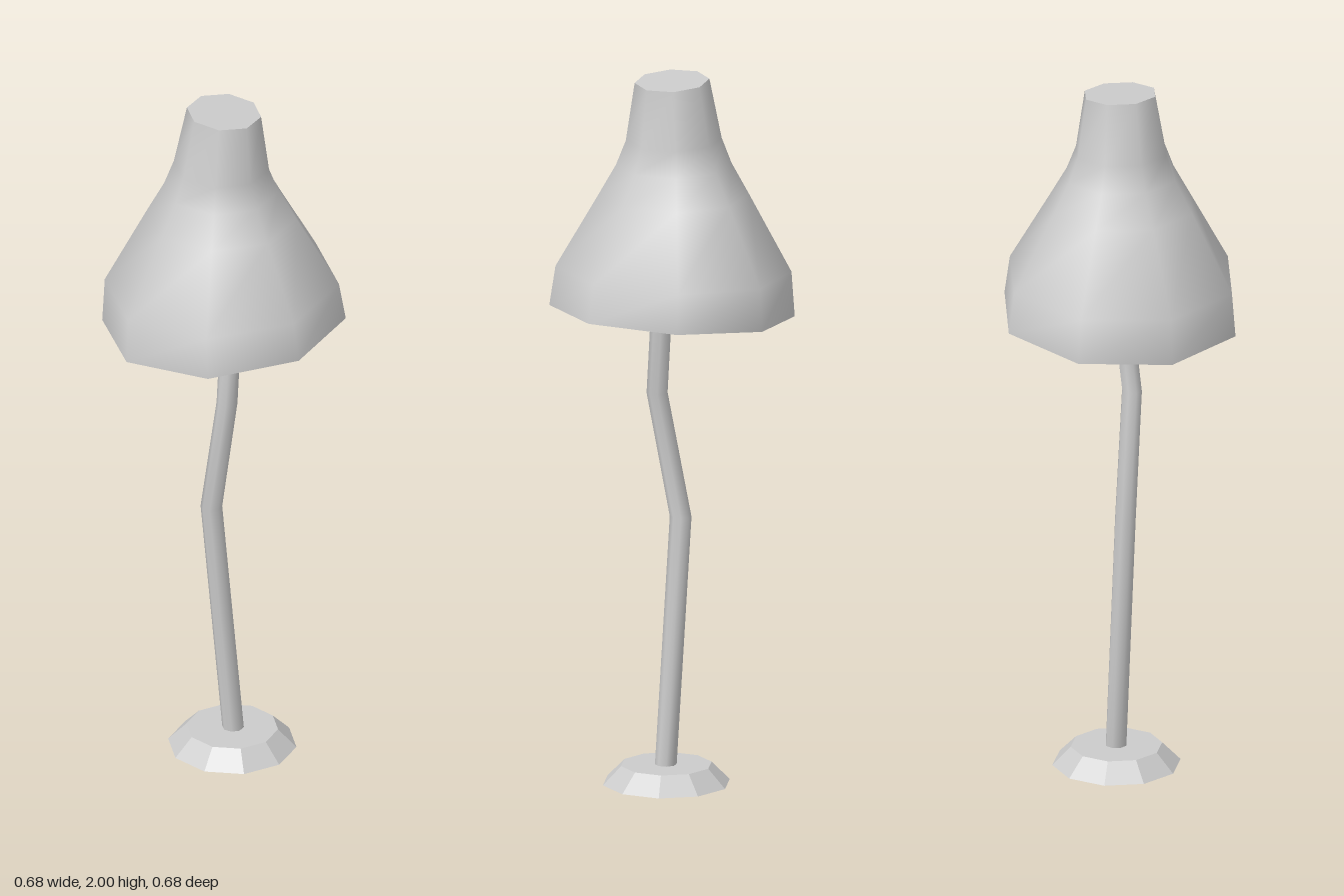
import * as THREE from 'three';

const material = new THREE.MeshStandardMaterial({ color: 0xcccccc, side: THREE.DoubleSide });

// Smooth skin through rings listed bottom to top, with flat caps.
// Ring: [centre x, centre y, centre z, radius, slope of y along x]
function loft(rings, sides, name) {
  const pos = [], index = [];
  const addRing = ([cx, cy, cz, r, slope = 0]) => {
    const start = pos.length / 3;
    for (let i = 0; i < sides; i++) {
      const a = (i / sides) * Math.PI * 2;
      const dx = Math.cos(a) * r;
      pos.push(cx + dx, cy + dx * slope, cz + Math.sin(a) * r);
    }
    return start;
  };
  const starts = rings.map(addRing);
  for (let j = 0; j < rings.length - 1; j++) {
    for (let i = 0; i < sides; i++) {
      const k = (i + 1) % sides;
      const a = starts[j] + i, b = starts[j] + k;
      const c = starts[j + 1] + i, d = starts[j + 1] + k;
      index.push(a, c, b, b, c, d);
    }
  }
  // Caps use their own vertices so their edges stay sharp
  const low = addRing(rings[0]), high = addRing(rings[rings.length - 1]);
  for (let i = 1; i < sides - 1; i++) {
    index.push(low, low + i, low + i + 1);
    index.push(high, high + i + 1, high + i);
  }
  const geometry = new THREE.BufferGeometry();
  geometry.setAttribute('position', new THREE.Float32BufferAttribute(pos, 3));
  geometry.setIndex(index);
  geometry.computeVertexNormals();
  const mesh = new THREE.Mesh(geometry, material);
  mesh.name = name;
  return mesh;
}

export function createModel() {
  const lamp = new THREE.Group();
  lamp.name = 'lamp';

  // Ten-sided foot, hollow underneath
  const foot = new THREE.Group();
  foot.name = 'foot';
  foot.position.x = 0.022;
  const flat = material.clone();
  flat.flatShading = true;
  const skirt = new THREE.Mesh(new THREE.CylinderGeometry(0.127, 0.178, 0.052, 10, 1, true), flat);
  skirt.name = 'footSkirt';
  skirt.position.y = 0.026;
  skirt.rotation.y = Math.PI / 2;
  const plate = new THREE.Mesh(new THREE.CircleGeometry(0.127, 10), flat);
  plate.name = 'footPlate';
  plate.position.y = 0.052;
  plate.rotation.x = -Math.PI / 2;
  foot.add(skirt, plate);
  lamp.add(foot);

  // Crooked pole, its lower end poking through the foot
  lamp.add(loft([
    [0.026, 0.03, 0, 0.03],
    [-0.036, 0.745, 0, 0.03, 0.05],
    [0.013, 1.1, 0.043, 0.029],
    [0.022, 1.345, 0.018, 0.029],
  ], 8, 'pole'));

  // Leaning bell shade
  lamp.add(loft([
    [-0.001, 1.338, 0, 0.338, 0.082],
    [-0.007, 1.456, 0, 0.325, 0.05],
    [-0.008, 1.667, 0, 0.208, 0.01],
    [-0.008, 1.755, 0, 0.159, -0.01],
    [-0.008, 1.825, 0, 0.132, -0.03],
    [-0.001, 1.992, 0, 0.103, -0.07],
  ], 8, 'shade'));

  return lamp;
}
